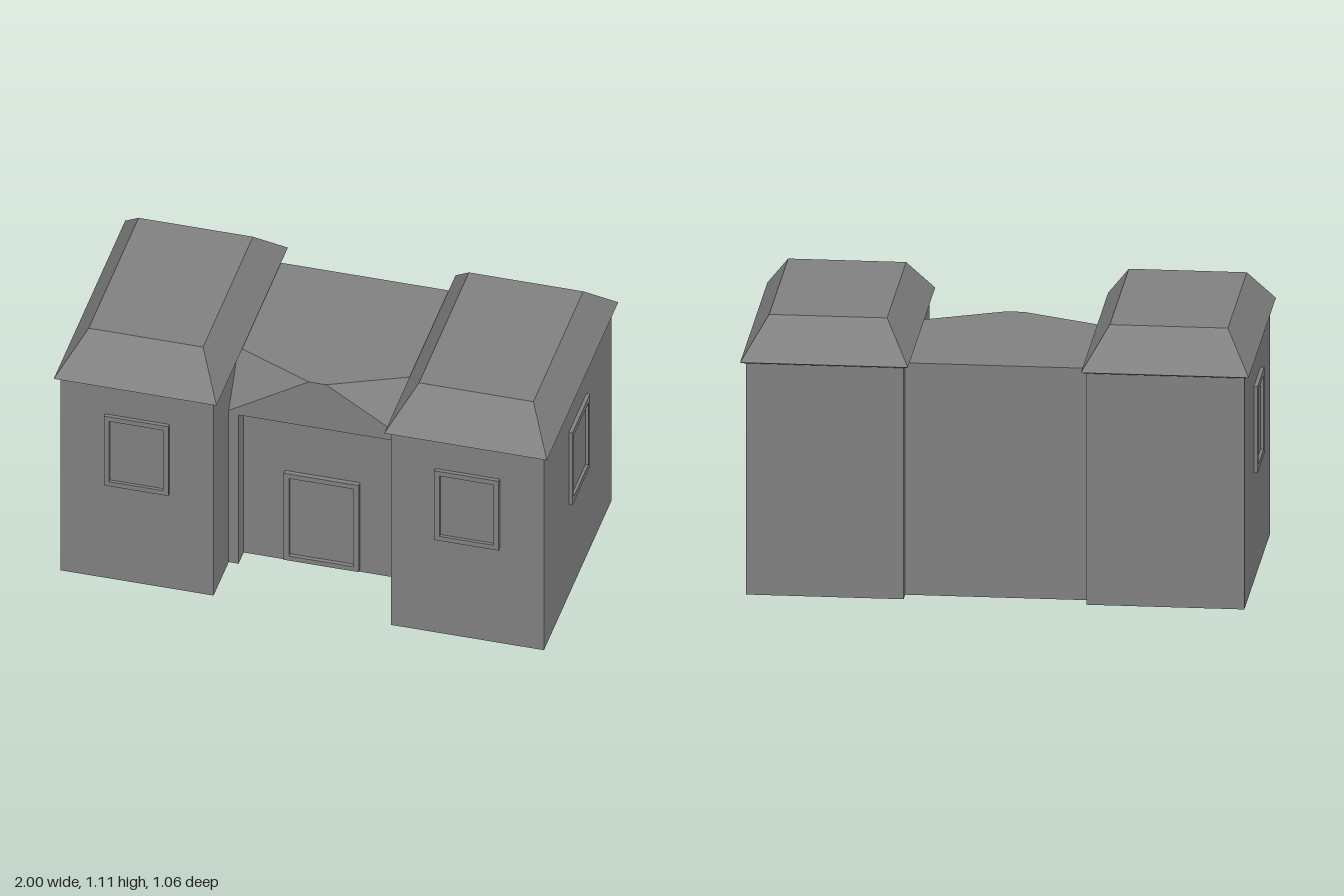
import * as THREE from 'three';
import { ConvexGeometry } from 'three/addons/geometries/ConvexGeometry.js';

const material = new THREE.MeshStandardMaterial({ color: 0x808080, flatShading: true });

function part(name, geometry) {
  const mesh = new THREE.Mesh(geometry, material);
  mesh.name = name;
  return mesh;
}

const hull = (points) => new ConvexGeometry(points.map((p) => new THREE.Vector3(...p)));

function rectangle(path, w, h) {
  path.moveTo(-w / 2, -h / 2);
  path.lineTo(w / 2, -h / 2);
  path.lineTo(w / 2, h / 2);
  path.lineTo(-w / 2, h / 2);
  path.closePath();
  return path;
}

// Raised frame around a thin pane, facing +z, back on z = 0
function framedOpening(name, w, h, border, depth) {
  const group = new THREE.Group();
  group.name = name;
  const shape = rectangle(new THREE.Shape(), w, h);
  const iw = w - 2 * border, ih = h - 2 * border;
  shape.holes.push(rectangle(new THREE.Path(), iw, ih));
  group.add(part(name + 'Frame', new THREE.ExtrudeGeometry(shape, { depth, bevelEnabled: false })));
  const pane = part(name + 'Pane', new THREE.BoxGeometry(iw, ih, 0.003));
  pane.position.z = 0.0015;
  group.add(pane);
  return group;
}

// Side wing: block, hipped flat-topped roof, front and outer windows
function wing(side) {
  const group = new THREE.Group();
  group.name = side > 0 ? 'leftWing' : 'rightWing';
  group.position.x = side * 0.67;

  const walls = part('wingWalls', new THREE.BoxGeometry(0.62, 0.955, 1));
  walls.position.y = 0.4775;
  group.add(walls);

  // Roof rings: sloping underside, sharp eave, flat top
  const points = [];
  for (const [w, y, d] of [[0.316, 0.951, 0.512], [0.33, 0.959, 0.53], [0.232, 1.11, 0.37]])
    for (const sx of [-1, 1])
      for (const sz of [-1, 1]) points.push([sx * w, y, sz * d]);
  group.add(part('wingRoof', hull(points)));

  const front = framedOpening('frontWindow', 0.262, 0.34, 0.022, 0.016);
  front.position.set(0, 0.635, 0.5);
  const outer = framedOpening('sideWindow', 0.262, 0.355, 0.026, 0.015);
  outer.position.set(side * 0.31, 0.622, 0);
  outer.rotation.y = side * Math.PI / 2;
  group.add(front, outer);
  return group;
}

export function createModel() {
  const model = new THREE.Group();
  model.name = 'house';
  model.add(wing(1), wing(-1));

  // Lower hall: plan with a recessed entrance between two narrow piers
  const plan = new THREE.Shape();
  [[-0.36, -0.275], [-0.32, -0.275], [-0.32, -0.2], [0.32, -0.2], [0.32, -0.275],
    [0.36, -0.275], [0.36, 0.44], [-0.36, 0.44]]
    .forEach(([x, y], i) => (i ? plan.lineTo(x, y) : plan.moveTo(x, y)));
  const hall = new THREE.ExtrudeGeometry(plan, { depth: 0.73, bevelEnabled: false });
  hall.rotateX(-Math.PI / 2);
  model.add(part('hallWalls', hall));

  // Upper hall: flat top whose front corners are cut to form a gable
  const upper = [];
  for (const s of [-1, 1])
    upper.push([s * 0.36, 0.73, -0.44], [s * 0.36, 0.73, 0.275], [s * 0.36, 0.745, 0.275],
      [s * 0.36, 0.95, -0.44], [s * 0.36, 0.95, 0.13], [s * 0.035, 0.95, 0.275]);
  model.add(part('hallGableRoof', hull(upper)));

  // Entrance
  const door = framedOpening('door', 0.305, 0.425, 0.022, 0.02);
  door.position.set(0, 0.225, 0.2);
  model.add(door);
  return model;
}
